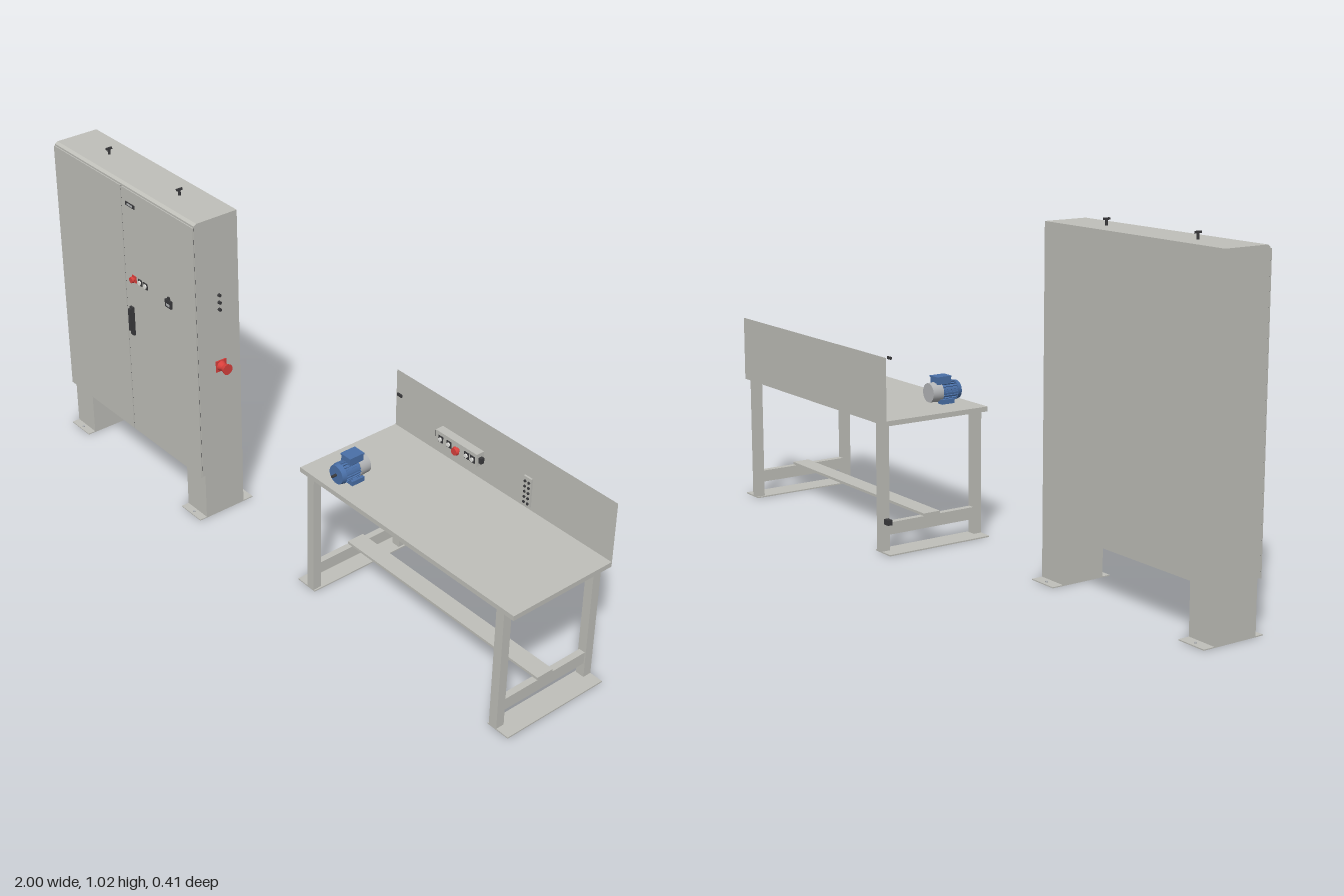
import * as THREE from 'three';

const mat = (name, color) => {
  const m = new THREE.MeshStandardMaterial({ color });
  m.name = name;
  return m;
};

export function createModel() {
  const grey = mat('light grey', 0xc0c0ba);
  const sheet = mat('thin grey sheet', 0xc0c0ba);
  sheet.side = THREE.DoubleSide;
  const dark = mat('dark grey', 0x3a3a3c);
  const red = mat('red', 0xd8403c);
  const blue = mat('blue', 0x4a70a8);
  const silver = mat('silver', 0xb4b6b8);
  const white = mat('white', 0xe4e4e0);

  const model = new THREE.Group();
  model.name = 'cabinetAndWorkbench';
  const group = (name) => {
    const g = new THREE.Group();
    g.name = name;
    model.add(g);
    return g;
  };
  const add = (parent, name, geo, material) => {
    const m = new THREE.Mesh(geo, material);
    m.name = name;
    parent.add(m);
    return m;
  };
  // box given by its limits on each axis
  const box = (p, name, material, x0, x1, y0, y1, z0, z1) => {
    const m = add(p, name, new THREE.BoxGeometry(x1 - x0, y1 - y0, z1 - z0), material);
    m.position.set((x0 + x1) / 2, (y0 + y1) / 2, (z0 + z1) / 2);
    return m;
  };
  // cylinder centred on a point, lying along one axis
  const cyl = (p, name, material, axis, r0, r1, len, x, y, z, sides = 24) => {
    const g = new THREE.CylinderGeometry(r1, r0, len, sides);
    if (axis === 'x') g.rotateZ(-Math.PI / 2);
    if (axis === 'z') g.rotateX(Math.PI / 2);
    const m = add(p, name, g, material);
    m.position.set(x, y, z);
    return m;
  };

  // ---- control cabinet ----
  const cab = group('cabinet');
  const L = -1, R = -0.29;
  // side profile with chamfered upper front edge, extruded across the width
  const side = new THREE.Shape([[0.035, 0.15], [0.175, 0.15], [0.175, 0.155], [0.184, 0.155],
    [0.184, 0.994], [0.175, 1], [0.035, 1]].map(([z, y]) => new THREE.Vector2(-z, y)));
  const shell = new THREE.ExtrudeGeometry(side, { depth: R - L, bevelEnabled: false });
  shell.rotateY(Math.PI / 2);
  add(cab, 'cabinetShell', shell, grey).position.x = L;
  box(cab, 'doorSeal', dark, L + 0.002, R - 0.002, 0.157, 0.988, 0.184, 0.186);
  box(cab, 'rightDoor', grey, L, -0.647, 0.153, 0.99, 0.186, 0.189);
  box(cab, 'leftDoor', grey, -0.642, R, 0.153, 0.99, 0.186, 0.189);

  // plinth legs with floor plates and anchor bolts
  for (const [x0, x1] of [[L, -0.905], [-0.385, R]]) {
    box(cab, 'cabinetLeg', grey, x0, x1, 0.003, 0.15, 0.035, 0.175);
    box(cab, 'cabinetFootPlate', grey, x0, x1, 0, 0.003, 0, 0.2);
    for (const z of [0.015, 0.188]) cyl(cab, 'anchorBolt', silver, 'y', 0.004, 0.004, 0.004, (x0 + x1) / 2, 0.004, z, 12);
  }
  // lifting bolts
  for (const x of [-0.825, -0.467]) {
    cyl(cab, 'liftingBolt', dark, 'y', 0.004, 0.004, 0.018, x, 1.008, 0.105, 12);
    box(cab, 'liftingBoltHead', dark, x - 0.003, x + 0.003, 1.015, 1.021, 0.095, 0.115);
  }
  cyl(cab, 'earthBolt', dark, 'y', 0.006, 0.006, 0.016, -0.643, 0.142, 0.105, 12);

  // door fittings
  box(cab, 'namePlate', dark, -0.621, -0.575, 0.938, 0.95, 0.189, 0.191);
  box(cab, 'namePlateFace', silver, -0.612, -0.584, 0.941, 0.947, 0.191, 0.192);
  box(cab, 'handleBase', dark, -0.622, -0.606, 0.507, 0.602, 0.189, 0.196);
  box(cab, 'handleGrip', dark, -0.619, -0.609, 0.525, 0.598, 0.196, 0.204);
  box(cab, 'stopButtonPlate', red, -0.607, -0.585, 0.692, 0.714, 0.189, 0.191);
  cyl(cab, 'stopButtonStem', red, 'z', 0.006, 0.006, 0.006, -0.596, 0.703, 0.194);
  cyl(cab, 'stopButtonHead', red, 'z', 0.01, 0.009, 0.006, -0.596, 0.703, 0.2);
  for (const x of [-0.566, -0.538]) {
    box(cab, 'buttonFrame', dark, x - 0.01, x + 0.01, 0.693, 0.713, 0.189, 0.191);
    cyl(cab, 'pushButton', white, 'z', 0.007, 0.007, 0.004, x, 0.703, 0.193);
  }
  box(cab, 'doorSocket', dark, -0.434, -0.404, 0.684, 0.709, 0.189, 0.195);
  box(cab, 'doorSocketFace', silver, -0.427, -0.411, 0.689, 0.697, 0.195, 0.196);
  box(cab, 'doorSocketLatch', dark, -0.424, -0.414, 0.709, 0.718, 0.189, 0.193);

  // main switch and cable sockets on the side
  const sy = 0.518, sz = 0.106;
  box(cab, 'mainSwitchPlate', red, R, R + 0.004, sy - 0.018, sy + 0.018, sz - 0.018, sz + 0.018);
  cyl(cab, 'mainSwitchNeck', red, 'x', 0.016, 0.009, 0.016, R + 0.012, sy, sz);
  cyl(cab, 'mainSwitchKnob', red, 'x', 0.013, 0.017, 0.015, R + 0.0275, sy, sz);
  for (const y of [0.705, 0.728, 0.752]) {
    cyl(cab, 'cableSocket', dark, 'x', 0.005, 0.005, 0.008, R + 0.004, y, sz, 12);
  }

  // ---- workbench ----
  const bench = group('workbench');
  box(bench, 'benchTop', grey, 0.135, 0.985, 0.385, 0.4, -0.204, 0.15);
  const panel = add(bench, 'backPanel', new THREE.PlaneGeometry(0.85, 0.2), sheet);
  panel.position.set(0.56, 0.485, -0.205);
  const legs = [[0.167, 0.195, 0.125, 0.2], [0.924, 0.952, 0.92, 0.995]];
  for (const [x0, x1, f0, f1] of legs) {
    box(bench, 'benchFootPlate', grey, f0, f1, 0, 0.004, -0.204, 0.15);
    box(bench, 'frontLeg', grey, x0, x1, 0.004, 0.385, 0.123, 0.15);
    box(bench, 'rearLeg', grey, x0, x1, 0.004, 0.385, -0.204, -0.177);
    box(bench, 'sideRail', grey, x0 + 0.004, x1 - 0.004, 0.05, 0.087, -0.177, 0.123);
  }
  box(bench, 'crossBar', grey, 0.171, 0.948, 0.087, 0.095, -0.055, 0.002);
  box(bench, 'legConnector', dark, 0.145, 0.167, 0.086, 0.102, -0.197, -0.182);

  // operator panel held in front of the back panel
  const op = group('operatorPanel');
  const py = 0.532;
  box(op, 'operatorBox', grey, 0.4, 0.563, 0.513, 0.553, -0.14, -0.113);
  for (const x of [0.39, 0.563]) box(op, 'boxConnector', dark, x, x + 0.01, 0.524, 0.541, -0.132, -0.12);
  for (const x of [0.422, 0.455, 0.525, 0.548]) {
    box(op, 'keyFrame', dark, x - 0.009, x + 0.009, py - 0.01, py + 0.01, -0.113, -0.111);
    cyl(op, 'keyCap', white, 'z', 0.006, 0.006, 0.004, x, py, -0.109, 16);
  }
  cyl(op, 'emergencyStopStem', red, 'z', 0.007, 0.007, 0.009, 0.49, py, -0.109);
  cyl(op, 'emergencyStopHead', red, 'z', 0.013, 0.011, 0.008, 0.49, py, -0.101);

  // terminal strip and sensor
  const strip = group('terminalStrip');
  box(strip, 'stripPlate', grey, 0.717, 0.745, 0.47, 0.56, -0.142, -0.136);
  for (let i = 0; i < 5; i++) {
    for (const x of [0.724, 0.738]) {
      cyl(strip, 'terminal', dark, 'z', 0.004, 0.004, 0.004, x, 0.48 + i * 0.0165, -0.135, 12);
    }
  }
  box(strip, 'sensor', dark, 0.211, 0.23, 0.561, 0.569, -0.142, -0.137);

  // ---- electric motor ----
  const motor = group('motor');
  const mx = 0.265, my = 0.434;
  cyl(motor, 'motorBody', blue, 'z', 0.027, 0.027, 0.062, mx, my, 0.091, 32);
  for (let i = 0; i < 20; i++) { // cooling fins
    const g = new THREE.BoxGeometry(0.002, 0.005, 0.05);
    g.translate(0, 0.0285, 0);
    g.rotateZ((i / 20) * Math.PI * 2);
    add(motor, 'coolingFin', g, blue).position.set(mx, my, 0.088);
  }
  cyl(motor, 'frontFlange', blue, 'z', 0.031, 0.028, 0.014, mx, my, 0.121, 32);
  cyl(motor, 'fanCover', silver, 'z', 0.029, 0.031, 0.036, mx, my, 0.044, 32);
  cyl(motor, 'shaft', dark, 'z', 0.004, 0.004, 0.016, mx, my, 0.135, 16);
  box(motor, 'terminalBox', blue, mx - 0.019, mx + 0.019, 0.458, 0.478, 0.046, 0.094);
  box(motor, 'terminalBoxLid', blue, mx - 0.021, mx + 0.021, 0.478, 0.482, 0.044, 0.096);
  for (const s of [-1, 1]) {
    const x = mx + s * 0.022;
    box(motor, 'motorFoot', blue, x - 0.011, x + 0.011, 0.4, 0.414, 0.053, 0.097);
  }

  return model;
}
